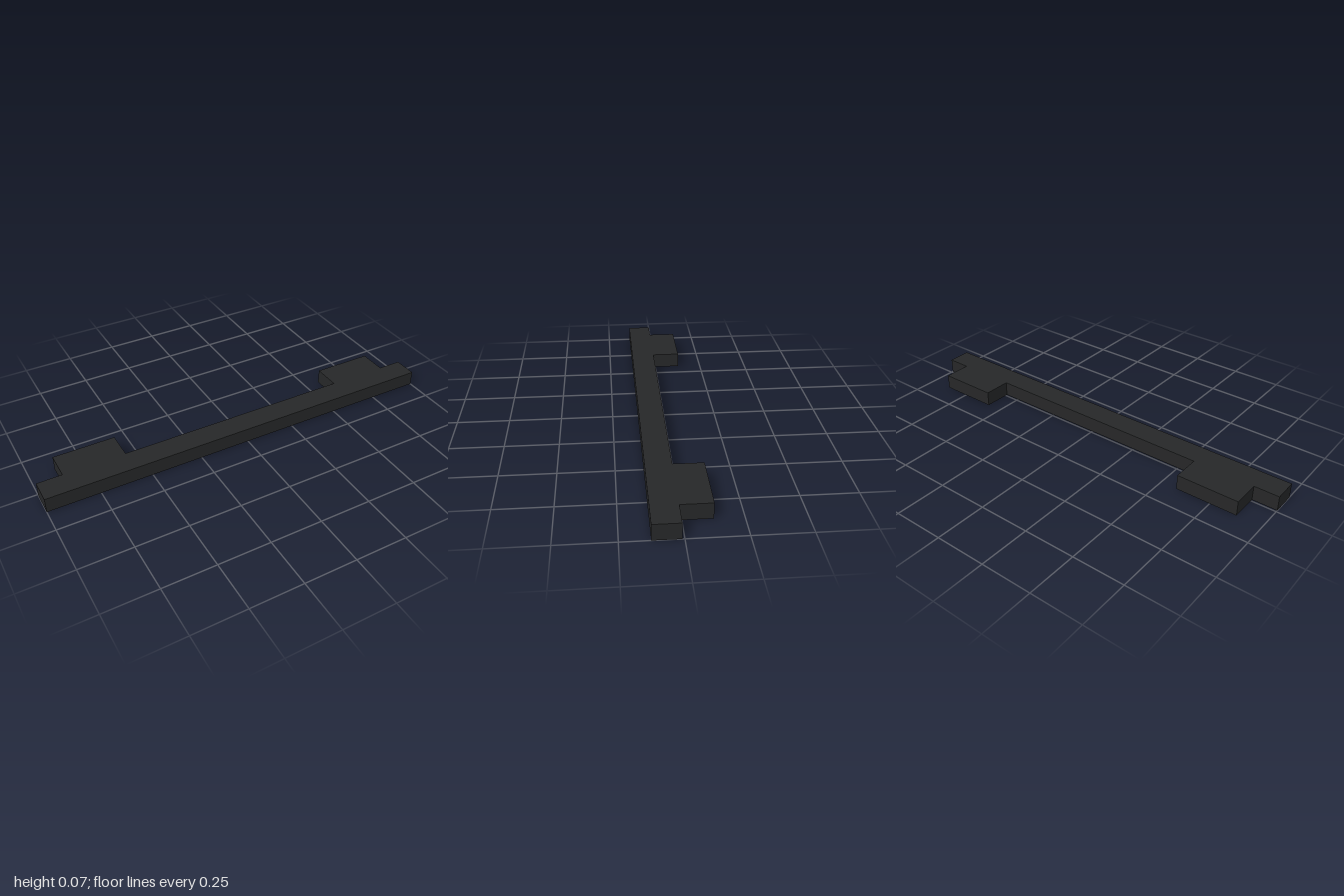
import * as THREE from 'three';

const HEIGHT = 0.073;

export function createModel() {
  const model = new THREE.Group();
  model.name = 'barHandle';
  const material = new THREE.MeshStandardMaterial({ color: 0x262728 });

  // Box standing on the ground, spanning zBack to zFront
  const addBlock = (name, width, x, zBack, zFront) => {
    const geometry = new THREE.BoxGeometry(width, HEIGHT, zFront - zBack);
    const mesh = new THREE.Mesh(geometry, material);
    mesh.name = name;
    mesh.position.set(x, HEIGHT / 2, (zBack + zFront) / 2);
    model.add(mesh);
  };

  // Long front bar
  addBlock('gripBar', 2, 0, 0.01, 0.127);

  // Mounting blocks behind the bar, mirrored
  for (const side of [-1, 1]) {
    addBlock(side > 0 ? 'leftMount' : 'rightMount', 0.3, side * 0.73, -0.127, 0.01);
  }

  return model;
}
